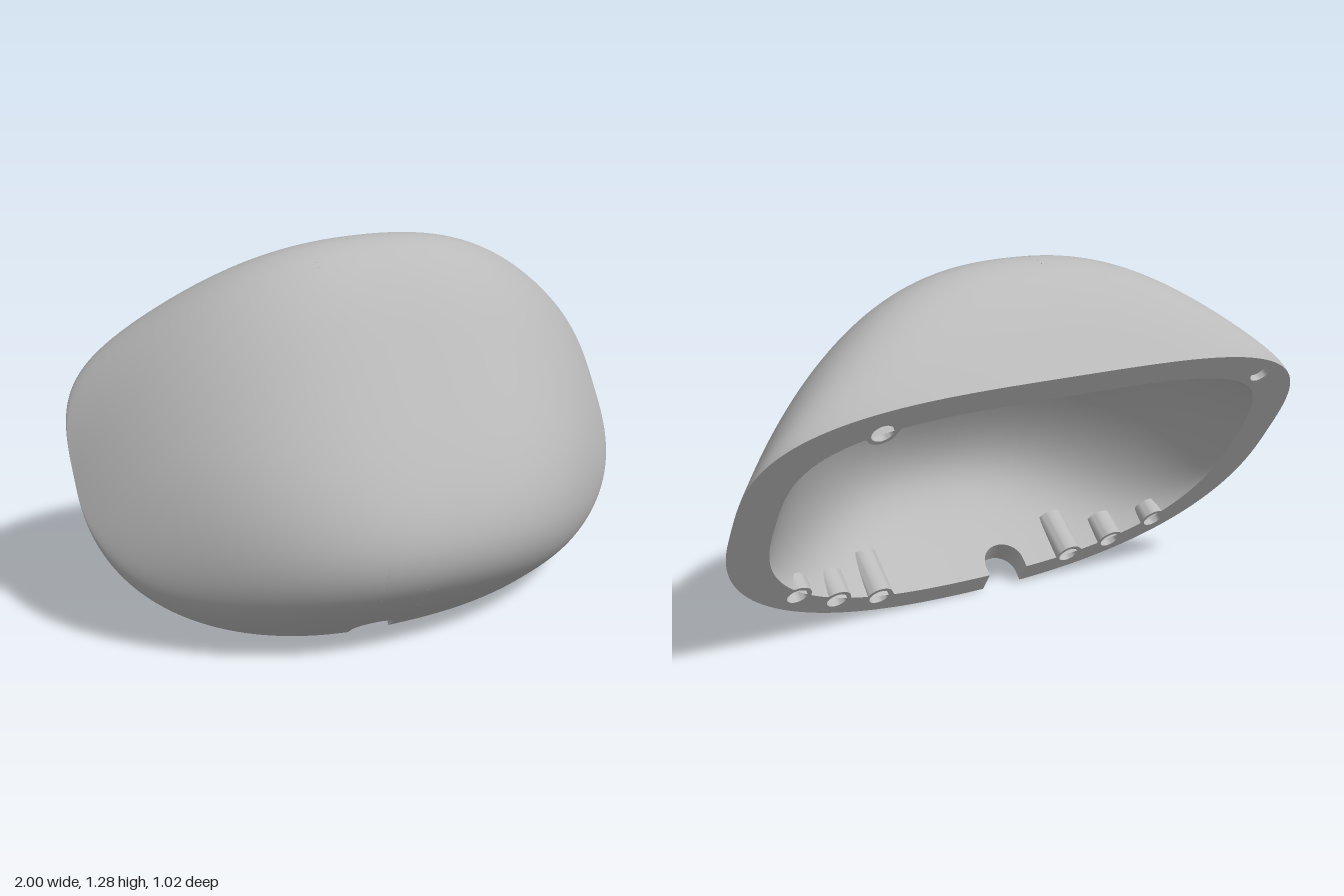
import * as THREE from 'three';
import { toCreasedNormals } from 'three/addons/utils/BufferGeometryUtils.js';

// Local frame: x across, y up along the flat rim, z out of the rim into the dome.
const MID = 0.66, TILT = THREE.MathUtils.degToRad(35);
const OUTER = { w: 1, up: 0.54, down: 0.66, pUp: 3.5, pDown: 2.3, depth: 0.582 };
const INNER = { w: 0.86, up: 0.445, down: 0.57, pUp: 3.6, pDown: 2.5, depth: 0.49 };
const NOTCH = { x: -0.135, r: 0.075, straight: 0.035 };
const BOSS_R = 0.05, BORE_R = 0.036;
// Screw bosses: x, y, height
const BOSSES = [
  [0.6, 1.07, 0.06], [-0.78, 1.055, 0.03],
  ...[[0.705, 0.24, 0.06], [0.547, 0.155, 0.1], [0.382, 0.114, 0.17]]
    .flatMap(([x, y, h]) => [[x, y, h], [-x, y, h]]),
];

// Height of the rim outline above or below the middle line
function half(s, x, top) {
  const p = top ? s.pUp : s.pDown;
  const k = Math.max(0, 1 - Math.abs(x / s.w) ** p);
  return (top ? s.up : s.down) * Math.pow(k, 1 / p);
}
const edge = (s, x, top) => MID + (top ? 1 : -1) * half(s, x, top);

// Dome height at x, and boxiness of the section there
const crown = (s, x) => s.depth * Math.max(0, 1 - Math.abs(x / s.w) ** 2.6);
function boxiness(s, x, top) {
  const mid = Math.max(0, 1 - (x / s.w) ** 2) ** 2.5;
  return 1.9 + (top ? 1.4 : 3) * mid;
}

// Point on a shell: section at x, angle a from bottom rim (0) to top rim (PI)
function shellPoint(s, x, a) {
  const c = -Math.cos(a), n = Math.max(0, Math.sin(a)), top = c > 0;
  const p = boxiness(s, x, top), k = Math.pow(Math.abs(c) ** p + n ** p, -1 / p);
  const z = crown(s, x) * n * k;
  return new THREE.Vector3(x, MID + c * k * half(s, x, top) + (0.19 + 0.11 * c * k) * z, z);
}

function shellNormal(s, x, a, sign) {
  const e = 1e-3, u = THREE.MathUtils.clamp(x, -0.996 * s.w, 0.996 * s.w);
  const m = THREE.MathUtils.clamp(a, 0.003, Math.PI - 0.003);
  const dx = shellPoint(s, u + e, m).sub(shellPoint(s, u - e, m));
  const da = shellPoint(s, u, m + e).sub(shellPoint(s, u, m - e));
  return dx.cross(da).normalize().multiplyScalar(sign);
}

// Where the shell starts above the notch arch
function archAngle(s, x) {
  const d = Math.abs(x - NOTCH.x);
  const z = (NOTCH.straight + Math.sqrt(Math.max(0, NOTCH.r ** 2 - d * d))) / crown(s, x);
  const p = boxiness(s, x, false);
  return Math.atan2(z, Math.pow(1 - z ** p, 1 / p));
}

// Sections from x0 to x1, crowded towards the ends of the shell
function columns(s, x0, x1, count) {
  const unwarp = x => Math.asin(Math.asin(x / s.w) * 2 / Math.PI) * 2 / Math.PI;
  const u0 = unwarp(x0), u1 = unwarp(x1);
  return Array.from({ length: count + 1 }, (_, i) => {
    const u = u0 + (u1 - u0) * i / count;
    return s.w * Math.sin(Math.PI / 2 * Math.sin(Math.PI / 2 * u));
  });
}
const NOTCH_LEFT = NOTCH.x - NOTCH.r, NOTCH_RIGHT = NOTCH.x + NOTCH.r;
const notchXs = Array.from({ length: 21 }, (_, i) => NOTCH.x - NOTCH.r * Math.cos(Math.PI * i / 20));

// Surface through rows of points
function loft(rows, flip) {
  const m = rows[0].length, index = [];
  for (let i = 0; i < rows.length - 1; i++) {
    for (let j = 0; j < m - 1; j++) {
      const a = i * m + j, b = a + m;
      if (flip) index.push(a, b + 1, b, a, a + 1, b + 1);
      else index.push(a, b, b + 1, a, b + 1, a + 1);
    }
  }
  const g = new THREE.BufferGeometry().setFromPoints(rows.flat());
  g.setIndex(index);
  return g;
}

// Part of a shell over the given sections
function shell(s, xs, start, inside) {
  const M = 96;
  const params = xs.map(x => {
    const a0 = start(x);
    return Array.from({ length: M + 1 }, (_, j) => [x, a0 + (Math.PI - a0) * j / M]);
  });
  const g = loft(params.map(row => row.map(([x, a]) => shellPoint(s, x, a))), inside);
  const normals = params.flat().flatMap(([x, a]) =>
    shellNormal(s, x, a, inside ? -1 : 1).toArray());
  g.setAttribute('normal', new THREE.Float32BufferAttribute(normals, 3));
  return g;
}

// Inner rim edge, bulging around each boss
function innerEdge(x, top) {
  let y = edge(INNER, x, top);
  for (const [bx, by] of BOSSES) {
    const d = Math.abs(x - bx);
    if (d >= BOSS_R || (by > MID) !== top) continue;
    const b = Math.sqrt(BOSS_R ** 2 - d * d);
    y = top ? Math.min(y, by - b) : Math.max(y, by + b);
  }
  return y;
}

// Flat rim, open at the notch, with screw holes
function rimGeometry() {
  const loop = (s, count, y) => [
    ...columns(s, NOTCH_RIGHT, s.w, count).map(x => [x, y(x, false)]),
    ...columns(s, -s.w, s.w, count * 2).slice(1, -1).reverse().map(x => [x, y(x, true)]),
    ...columns(s, -s.w, NOTCH_LEFT, count).map(x => [x, y(x, false)]),
  ].map(([x, h]) => new THREE.Vector2(-x, h));
  const shape = new THREE.Shape([
    ...loop(OUTER, 80, (x, top) => edge(OUTER, x, top)),
    ...loop(INNER, 160, innerEdge).reverse(),
  ]);
  for (const [x, y] of BOSSES) {
    shape.holes.push(new THREE.Path().absarc(-x, y, BORE_R, 0, Math.PI * 2));
  }
  return new THREE.ShapeGeometry(shape, 24).rotateY(Math.PI);
}

// Hollow post with a closed end
function bossGeometry(h) {
  const d = h * 0.8;
  const profile = [[0, d], [BORE_R, d], [BORE_R, 0], [BOSS_R, 0], [BOSS_R, h], [0, h]]
    .map(([r, y]) => new THREE.Vector2(r, y));
  return toCreasedNormals(new THREE.LatheGeometry(profile, 28).rotateX(Math.PI / 2), 0.6);
}

export function createModel() {
  const grey = new THREE.MeshStandardMaterial({ color: 0xbababa, side: THREE.DoubleSide });
  grey.name = 'grey';
  const model = new THREE.Group();
  model.name = 'domeCover';
  const cover = new THREE.Group();
  cover.name = 'tiltedCover';
  const add = (name, geometry) => {
    const mesh = new THREE.Mesh(geometry, grey);
    mesh.name = name;
    cover.add(mesh);
    return mesh;
  };

  // Outer and inner skins, each split at the notch
  for (const [name, s, inside] of [['outerShell', OUTER, false], ['innerShell', INNER, true]]) {
    add(name + 'Right', shell(s, columns(s, -s.w, NOTCH_LEFT, 80), () => 0, inside));
    add(name + 'AboveNotch', shell(s, notchXs, x => archAngle(s, x), inside));
    add(name + 'Left', shell(s, columns(s, NOTCH_RIGHT, s.w, 80), () => 0, inside));
  }
  add('rim', rimGeometry());

  // Walls of the cable notch, from outer to inner skin
  const wallRow = (x, atRim) => [OUTER, INNER].map(s =>
    shellPoint(s, x, atRim ? 0 : archAngle(s, x)));
  const walls = loft([
    wallRow(NOTCH_LEFT, true),
    ...notchXs.map(x => wallRow(x, false)),
    wallRow(NOTCH_RIGHT, true),
  ], true);
  add('cableNotch', toCreasedNormals(walls, 0.6));

  for (const [x, y, h] of BOSSES) add('screwBoss', bossGeometry(h)).position.set(x, y, 0);

  // Lean the rim back so the dome faces forward and up
  cover.rotation.x = -TILT;
  cover.position.z = 0.18;
  model.add(cover);
  return model;
}
